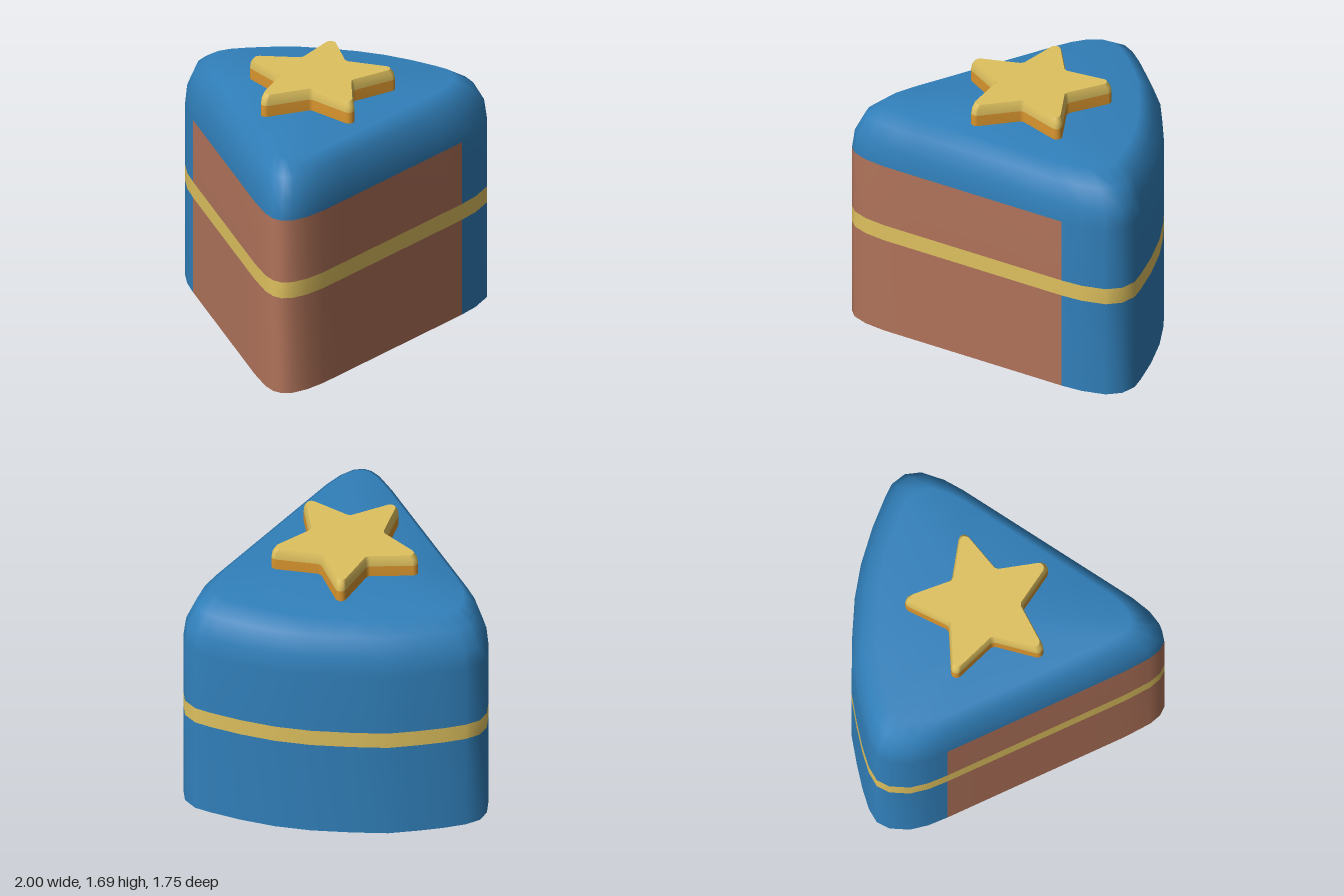
import * as THREE from 'three';

const paint = (name, color) => {
  const m = new THREE.MeshStandardMaterial({ color, side: THREE.DoubleSide });
  m.name = name;
  return m;
};

// Stacks scaled copies of an outline [x, z] about a centre into a skin.
// rows: [y, scale]; pick(row, column) gives the material index of each quad.
function loft(outline, [cx, cz], rows, pick, materialCount, capMaterial = -1) {
  const n = outline.length;
  const pos = [];
  const buckets = Array.from({ length: materialCount }, () => []);
  for (const [y, s] of rows) {
    for (const [x, z] of outline) pos.push(cx + (x - cx) * s, y, cz + (z - cz) * s);
  }
  for (let r = 0; r < rows.length - 1; r++) {
    for (let i = 0; i < n; i++) {
      const j = (i + 1) % n;
      const a = r * n + i, b = r * n + j, c = b + n, d = a + n;
      buckets[pick(r, i)].push(a, d, c, a, c, b);
    }
  }
  if (capMaterial >= 0) {
    const top = (rows.length - 1) * n;
    pos.push(cx, rows[rows.length - 1][0], cz);
    for (let i = 0; i < n; i++) buckets[capMaterial].push(rows.length * n, top + (i + 1) % n, top + i);
  }
  const geo = new THREE.BufferGeometry();
  geo.setAttribute('position', new THREE.Float32BufferAttribute(pos, 3));
  geo.setIndex(buckets.flat());
  let start = 0;
  buckets.forEach((b, k) => {
    if (b.length) geo.addGroup(start, b.length, k);
    start += b.length;
  });
  geo.computeVertexNormals();
  return geo;
}

function starOutline(cx, cz) {
  const pts = [];
  const rad = THREE.MathUtils.degToRad;
  for (let k = 0; k < 5; k++) {
    const a = -31 + 72 * k;
    // rounded tip
    for (const t of [-63, -32, 0, 32, 63]) {
      pts.push([
        cx + 0.448 * Math.cos(rad(a)) + 0.035 * Math.cos(rad(a + t)),
        cz + 0.448 * Math.sin(rad(a)) + 0.035 * Math.sin(rad(a + t)),
      ]);
    }
    // notch between tips
    for (const t of [33, 39]) pts.push([cx + 0.258 * Math.cos(rad(a + t)), cz + 0.258 * Math.sin(rad(a + t))]);
  }
  return pts;
}

export function createModel() {
  const group = new THREE.Group();
  const blue = paint('blue icing', 0x3180bb);
  const brown = paint('brown sponge', 0xb0735a);
  const yellow = paint('yellow cream', 0xdfc15f);
  const orange = paint('orange star side', 0xd8942e);

  // Rounded wedge footprint: back corner, curved rind, front corner, front cut, tip, side cut
  const wedge = [
    [-0.02, -0.865], [0.07, -0.875], [0.16, -0.83], [0.27, -0.74], [0.39, -0.625], [0.52, -0.49],
    [0.645, -0.3], [0.775, -0.08], [0.87, 0.13], [0.94, 0.35], [0.985, 0.55], [1, 0.65],
    [0.97, 0.75], [0.89, 0.82], [0.74, 0.86], [0.6, 0.87], [0.4, 0.87], [-0.5, 0.87],
    [-0.7, 0.87], [-0.84, 0.855], [-0.94, 0.82], [-0.99, 0.77], [-1, 0.71], [-0.98, 0.63],
    [-0.9, 0.47], [-0.78, 0.263], [-0.4, -0.393], [-0.28, -0.6], [-0.21, -0.71], [-0.13, -0.8],
  ];
  const cutStart = 15, cutEnd = 27; // columns showing the sponge
  const wedgeRows = [
    [0, 1], [0.66, 1], [0.77, 1], [1.2, 1], [1.33, 0.984], [1.46, 0.922], [1.535, 0.815],
  ];
  const slice = new THREE.Mesh(
    loft(wedge, [-0.05, 0.17], wedgeRows, (r, i) => {
      if (r === 1) return 2; // cream layer
      return r < 3 && i >= cutStart && i < cutEnd ? 1 : 0;
    }, 3, 0),
    [blue, brown, yellow],
  );
  slice.name = 'cakeSlice';
  group.add(slice);

  // Star topping: orange lower side, yellow bevelled rim, flat yellow top
  const star = new THREE.Group();
  star.name = 'starTopping';
  const centre = [0, 0.2];
  const outline = starOutline(...centre);
  const side = new THREE.Mesh(
    loft(outline, centre, [[1.545, 1], [1.62, 1], [1.66, 0.985], [1.69, 0.94]], (r) => (r === 0 ? 0 : 1), 2),
    [orange, yellow],
  );
  side.name = 'starSide';
  const top = new THREE.Mesh(loft(outline, centre, [[1.69, 0.94]], () => 0, 1, 0), [yellow]);
  top.name = 'starTop';
  star.add(side, top);
  group.add(star);

  return group;
}
